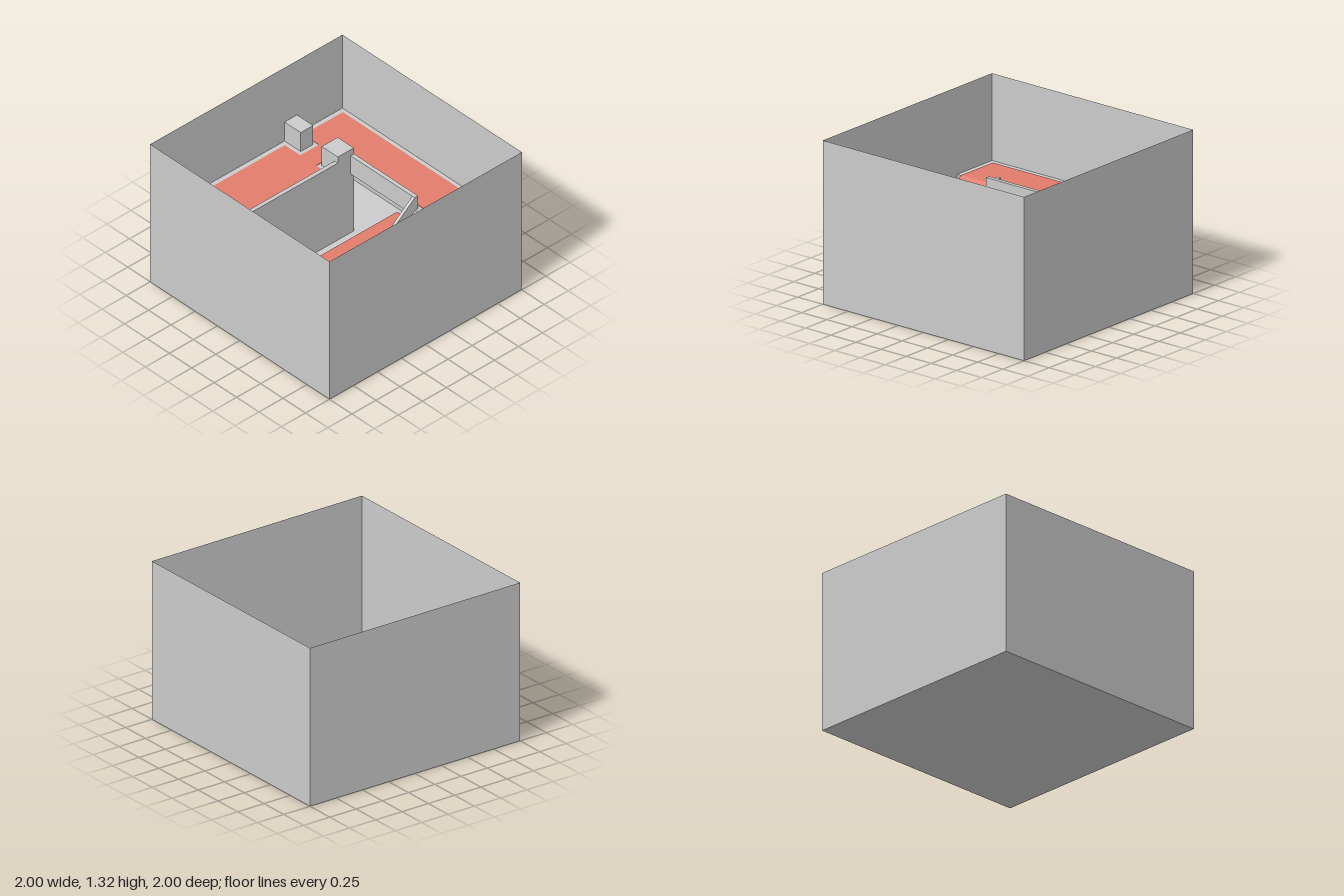
import * as THREE from 'three';

const HEIGHT = 1.322;   // outer walls
const FLOOR = 0.618;    // upper walkway level
const SLAB = 0.565;     // underside of the walkway
const RAIL = 0.742;     // top of the parapets
const T = 0.004;        // carpet thickness
const LIFT = 0.003;     // carpet clearance above the base floor

export function createModel() {
  const concrete = new THREE.MeshStandardMaterial({ color: 0xcbcbcb, side: THREE.DoubleSide });
  concrete.name = 'concrete grey';
  const carpet = new THREE.MeshStandardMaterial({ color: 0xe27c6c });
  carpet.name = 'carpet red';

  const model = new THREE.Group();
  model.name = 'twoLevelRoom';

  const add = (name, geometry, material) => {
    const mesh = new THREE.Mesh(geometry, material);
    mesh.name = name;
    model.add(mesh);
    return mesh;
  };
  const box = (name, x0, x1, y0, y1, z0, z1) =>
    add(name, new THREE.BoxGeometry(x1 - x0, y1 - y0, z1 - z0), concrete)
      .position.set((x0 + x1) / 2, (y0 + y1) / 2, (z0 + z1) / 2);
  const shapeOf = (pts) => new THREE.Shape(pts.map(([a, b]) => new THREE.Vector2(a, b)));
  const extrude = (shape, depth) => new THREE.ExtrudeGeometry(shape, { depth, bevelEnabled: false });

  // Horizontal plate from an (x, z) outline
  const plate = (name, pts, y, h, material, hole) => {
    const flip = (list) => list.map(([x, z]) => [x, -z]);
    const shape = shapeOf(flip(pts));
    if (hole) shape.holes.push(shapeOf(flip(hole)));
    add(name, extrude(shape, h).rotateX(-Math.PI / 2).translate(0, y, 0), material);
  };
  // Side profile (x, y) extruded along z
  const profileX = (name, pts, z0, z1, material) =>
    add(name, extrude(shapeOf(pts), z1 - z0).translate(0, 0, z0), material);
  // Side profile (z, y) extruded along x
  const profileZ = (name, pts, x0, x1, material) =>
    add(name, extrude(shapeOf(pts), x1 - x0).rotateY(-Math.PI / 2).translate(x1, 0, 0), material);

  // Open-topped shell
  add('baseFloor', new THREE.PlaneGeometry(2, 2).rotateX(-Math.PI / 2), concrete);
  ['frontWall', 'leftWall', 'backWall', 'rightWall'].forEach((name, i) => {
    const wall = new THREE.PlaneGeometry(2, HEIGHT).translate(0, HEIGHT / 2, 1);
    add(name, wall.rotateY(i * Math.PI / 2), concrete);
  });

  // Lower carpet, with an opening around the foot of the ramp
  plate('lowerCarpet', [
    [-0.957, 0.957], [0.963, 0.957], [0.963, -0.35], [-0.52, -0.35],
    [-0.52, 0.5], [-0.65, 0.455], [-0.957, 0.455],
  ], LIFT, T, carpet, [
    [-0.26, 0.25], [0.335, 0.25], [0.335, 0.57], [-0.26, 0.57], [-0.205, 0.48], [-0.205, 0.34],
  ]);

  // Upper walkway and its carpet
  plate('upperWalkway', [
    [-1, -1], [1, -1], [1, 0.535], [0.53, 0.535],
    [0.53, -0.405], [-0.56, -0.405], [-0.56, -0.585], [-1, -0.585],
  ], SLAB, FLOOR - SLAB, concrete);
  plate('upperCarpet', [
    [-0.957, -0.957], [0.36, -0.957], [0.36, -0.785], [0.555, -0.785], [0.555, -0.957], [0.963, -0.957],
    [0.963, 0.48], [0.53, 0.48], [0.53, 0.34], [0.595, 0.34], [0.595, -0.61], [0.36, -0.61],
    [0.36, -0.475], [-0.54, -0.475], [-0.515, -0.63], [-0.66, -0.66], [-0.65, -0.585], [-0.957, -0.585],
  ], FLOOR, T, carpet);

  // Parapets and door posts
  box('backParapetWall', -0.56, 0.4, LIFT, RAIL, -0.44, -0.405);
  box('lowerBackWall', 0.4, 0.565, LIFT, SLAB, -0.44, -0.405);
  box('sideParapet', 0.53, 0.565, SLAB, RAIL, -0.405, 0.31);
  box('innerDoorPost', 0.397, 0.563, FLOOR, 0.8, -0.585, -0.405);
  box('outerDoorPost', 0.397, 0.527, FLOOR, 0.8, -1, -0.82);

  // Staircase along the side wall
  const zTop = -0.585, zFoot = 0.455, steps = 19;
  const run = (zFoot - zTop) / steps;
  for (let i = 0; i < steps - 1; i++) {
    const z = zTop + i * run;
    box('stairStep', -1, -0.595, LIFT, FLOOR * (steps - 1 - i) / steps, z, z + run);
  }
  profileZ('stairCarpet', [
    [zTop, FLOOR - T], [zFoot, LIFT], [zFoot, LIFT + T], [zTop, FLOOR + T],
  ], -0.957, -0.65, carpet);
  profileZ('stairRail', [
    [zTop, LIFT], [zFoot, LIFT], [zFoot, 0.14], [0.4, 0.14], [-0.53, 0.692], [zTop, 0.692],
  ], -0.595, -0.56, concrete);

  // Ramp, open beneath its upper end
  profileX('ramp', [
    [-0.207, LIFT], [0.3, LIFT], [0.3, 0.37], [0.53, SLAB], [0.53, FLOOR],
  ], 0.31, 0.503, concrete);
  profileX('rampCarpet', [
    [-0.207, LIFT], [0.53, FLOOR - T], [0.53, FLOOR + T], [-0.207, LIFT + 2 * T],
  ], 0.34, 0.48, carpet);
  const rampRail = (name, end, z0, z1) => profileX(name, [
    [-0.207, LIFT], [0.3, LIFT], [0.3, 0.37], [0.53, SLAB], [end, SLAB],
    [end, RAIL], [0.53, RAIL], [-0.207, 0.145],
  ], z0, z1, concrete);
  rampRail('rampRailInner', 0.565, 0.283, 0.31);
  rampRail('rampRailOuter', 1, 0.503, 0.535);

  return model;
}
